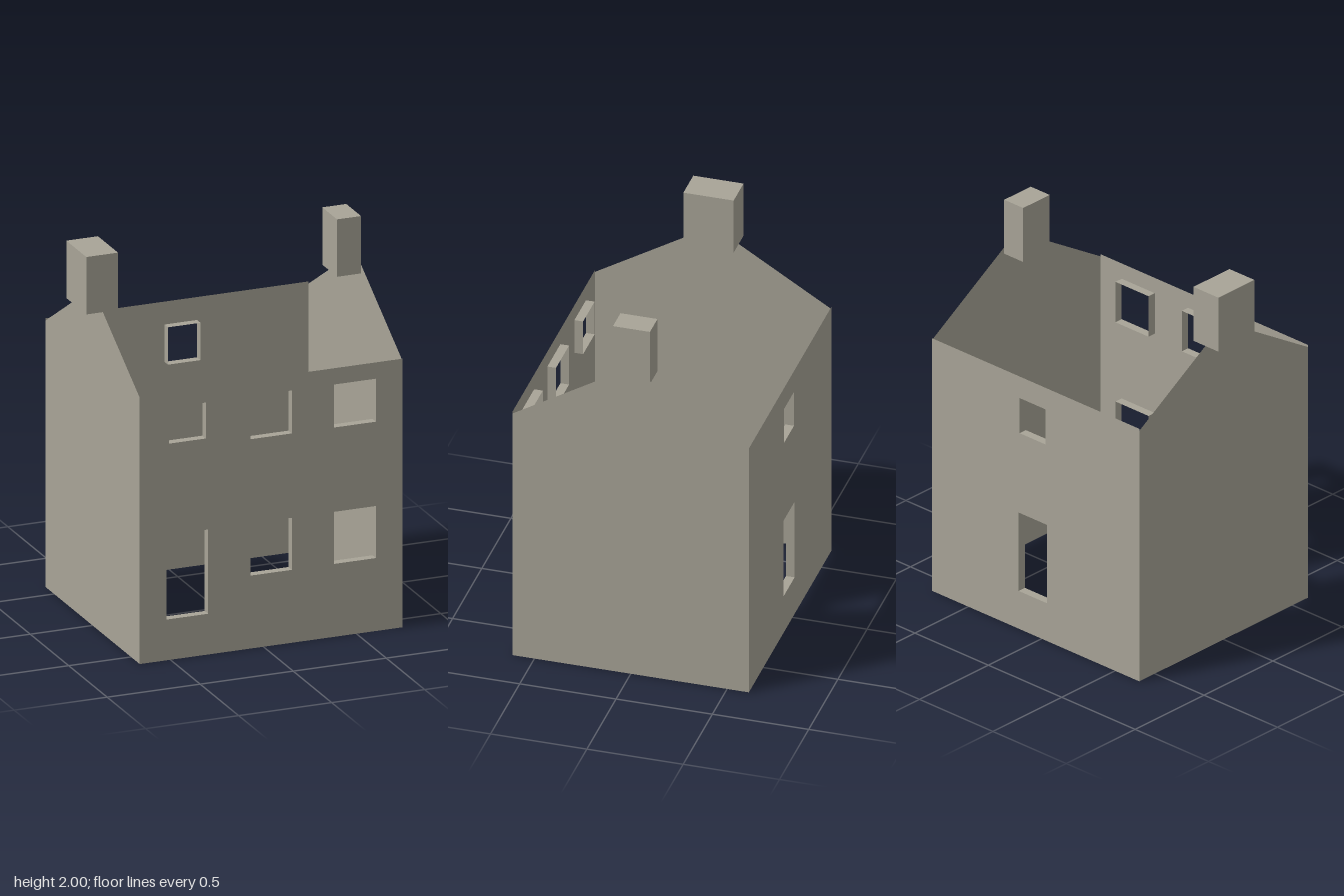
import * as THREE from 'three';
import { mergeGeometries } from 'three/addons/utils/BufferGeometryUtils.js';

const X0 = -0.665, X1 = 0.748, Z = 0.613;
const EAVE = 1.418, GABLE_EAVE = 1.406, RIDGE = 1.78, REVEAL = 0.045;

// Openings as [x0, x1, y0, y1]
const FRONT = {
  frontDoor: [-0.52, -0.297, 0.215, 0.66],
  lowerMiddleWindow: [-0.07, 0.153, 0.385, 0.66],
  lowerLeftWindow: [0.38, 0.605, 0.385, 0.66],
  upperRightWindow: [-0.508, -0.31, 1.142, 1.332],
  upperMiddleWindow: [-0.07, 0.153, 1.105, 1.332],
  upperLeftWindow: [0.38, 0.605, 1.105, 1.332],
};
const BACK = {
  backDoor: [-0.036, 0.157, 0.212, 0.652],
  backWindow: [-0.025, 0.15, 1.1, 1.297],
};

const polygon = (pts) => pts.map(([x, y]) => new THREE.Vector2(x, y));
const rect = ([x0, x1, y0, y1]) => polygon([[x0, y0], [x1, y0], [x1, y1], [x0, y1]]);

// Four thin sheets lining an opening, running from z = 0 inwards
function revealGeometry([x0, x1, y0, y1]) {
  const w = x1 - x0, h = y1 - y0, cx = (x0 + x1) / 2, cy = (y0 + y1) / 2, cz = -REVEAL / 2;
  const side = (x, turn) => new THREE.PlaneGeometry(REVEAL, h).rotateY(turn).translate(x, cy, cz);
  const level = (y, turn) => new THREE.PlaneGeometry(w, REVEAL).rotateX(turn).translate(cx, y, cz);
  return mergeGeometries([
    side(x0, Math.PI / 2), side(x1, -Math.PI / 2),
    level(y0, -Math.PI / 2), level(y1, Math.PI / 2),
  ]);
}

export function createModel() {
  const house = new THREE.Group();
  house.name = 'house';
  const stone = new THREE.MeshStandardMaterial({ color: 0xa8a497, side: THREE.DoubleSide });
  stone.name = 'stone';

  const add = (parent, name, geometry) => {
    const mesh = new THREE.Mesh(geometry, stone);
    mesh.name = name;
    parent.add(mesh);
    return mesh;
  };

  // Long walls: a sheet with holes, plus the lining of each opening
  function longWall(name, x0, x1, openings) {
    const group = new THREE.Group();
    group.name = name;
    const shape = new THREE.Shape(rect([x0, x1, 0, EAVE]));
    for (const [part, o] of Object.entries(openings)) {
      shape.holes.push(new THREE.Path(rect(o).reverse()));
      add(group, part + 'Reveal', revealGeometry(o));
    }
    add(group, name + 'Sheet', new THREE.ShapeGeometry(shape));
    house.add(group);
    return group;
  }
  longWall('frontWall', X0, X1, FRONT).position.z = Z;

  // The back wall faces -z, so its openings are mirrored in x before turning
  const mirrored = Object.fromEntries(
    Object.entries(BACK).map(([k, [a, b, c, d]]) => [k, [-b, -a, c, d]]));
  const back = longWall('backWall', -X1, -X0, mirrored);
  back.rotation.y = Math.PI;
  back.position.z = -Z;

  // Gable ends
  const gable = new THREE.ShapeGeometry(new THREE.Shape(polygon(
    [[-Z, 0], [Z, 0], [Z, GABLE_EAVE], [0, RIDGE], [-Z, GABLE_EAVE]])));
  for (const [name, x, turn] of [['leftGable', X1, 1], ['rightGable', X0, -1]]) {
    const mesh = add(house, name, gable);
    mesh.rotation.y = turn * Math.PI / 2;
    mesh.position.x = x;
  }

  // Chimneys
  for (const [name, x0, x1, z0, z1] of [
    ['rightChimney', -0.752, -0.582, -0.131, 0.13],
    ['leftChimney', 0.61, 0.739, -0.097, 0.095],
  ]) {
    add(house, name, new THREE.BoxGeometry(x1 - x0, 0.303, z1 - z0))
      .position.set((x0 + x1) / 2, 1.8485, (z0 + z1) / 2);
  }
  return house;
}
